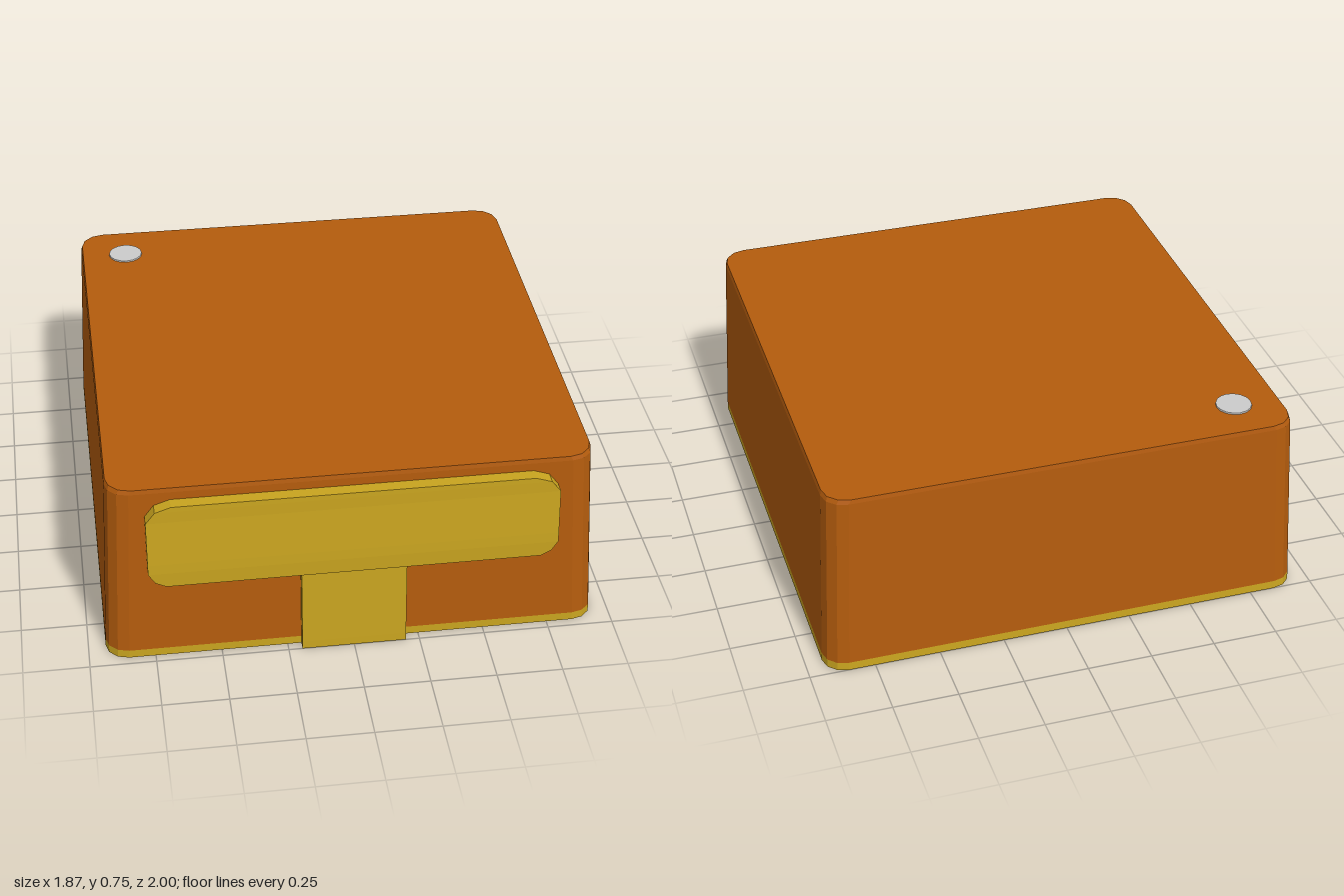
import * as THREE from 'three';

const orange = new THREE.MeshStandardMaterial({ color: 0xb45c0d, flatShading: true });
const yellow = new THREE.MeshStandardMaterial({ color: 0xc9a41f, flatShading: true });
const grey = new THREE.MeshStandardMaterial({ color: 0xcccccc, flatShading: true });

// Skin stacked rings (counter-clockwise from above, bottom to top) and cap both ends.
function loft(rings) {
  const n = rings[0].length;
  const index = [];
  for (let r = 0; r < rings.length - 1; r++) {
    for (let i = 0; i < n; i++) {
      const a = r * n + i, b = r * n + (i + 1) % n;
      index.push(a, b, b + n, a, b + n, a + n);
    }
  }
  const top = (rings.length - 1) * n;
  for (let i = 1; i < n - 1; i++) {
    index.push(0, i + 1, i, top, top + i, top + i + 1);
  }
  const geo = new THREE.BufferGeometry();
  geo.setAttribute('position', new THREE.Float32BufferAttribute(rings.flat(2), 3));
  geo.setIndex(index);
  const flat = geo.toNonIndexed();
  flat.computeVertexNormals();
  return flat;
}

// Rounded rectangle ring at height y.
function roundRing(y, halfX, zBack, zFront, radius, steps = 3) {
  const centre = (zFront + zBack) / 2, halfZ = (zFront - zBack) / 2;
  const ring = [];
  [[1, -1], [-1, -1], [-1, 1], [1, 1]].forEach(([sx, sz], corner) => {
    for (let i = 0; i <= steps; i++) {
      const t = (corner + i / steps) * Math.PI / 2;
      ring.push([
        sx * (halfX - radius) + radius * Math.cos(t),
        y,
        centre + sz * (halfZ - radius) - radius * Math.sin(t),
      ]);
    }
  });
  return ring;
}

// Four-cornered ring at height y.
const boxRing = ([y, halfX, zBack, zFront]) => [
  [halfX, y, zBack], [-halfX, y, zBack], [-halfX, y, zFront], [halfX, y, zFront],
];

export function createModel() {
  const model = new THREE.Group();
  const add = (name, geometry, material) => {
    const mesh = new THREE.Mesh(geometry, material);
    mesh.name = name;
    model.add(mesh);
    return mesh;
  };

  // Tapered case with a slightly eased top edge
  add('body', loft([
    roundRing(0.032, 0.934, -0.998, 0.964, 0.085),
    roundRing(0.725, 0.903, -0.969, 0.931, 0.085),
    roundRing(0.742, 0.898, -0.966, 0.928, 0.09),
  ]), orange);

  // Thin plate under the case
  add('basePlate', loft([
    roundRing(0, 0.935, -1, 0.965, 0.085),
    roundRing(0.032, 0.934, -0.998, 0.964, 0.085),
  ]), yellow);

  // Strap rising from the base: y, half width, back z, front z
  add('strap', loft([
    [0, 0.198, 0.955, 1], [0.032, 0.198, 0.967, 0.999], [0.36, 0.198, 0.953, 0.985],
  ].map(boxRing)), yellow);

  // Wide front bar with clipped corners, leaning with the wall
  add('frontBar', loft([
    [0.35, 0.70, 0.957, 1.0],
    [0.37, 0.74, 0.956, 1.0],
    [0.41, 0.765, 0.954, 1.0],
    [0.45, 0.765, 0.951, 0.998],
    [0.63, 0.765, 0.938, 0.985],
    [0.675, 0.73, 0.935, 0.984],
    [0.695, 0.67, 0.934, 0.983],
  ].map(boxRing)), yellow);

  // Small round button on the top, back corner
  add('button', new THREE.CylinderGeometry(0.068, 0.07, 0.012, 16), grey)
    .position.set(-0.72, 0.742, -0.785);

  return model;
}
